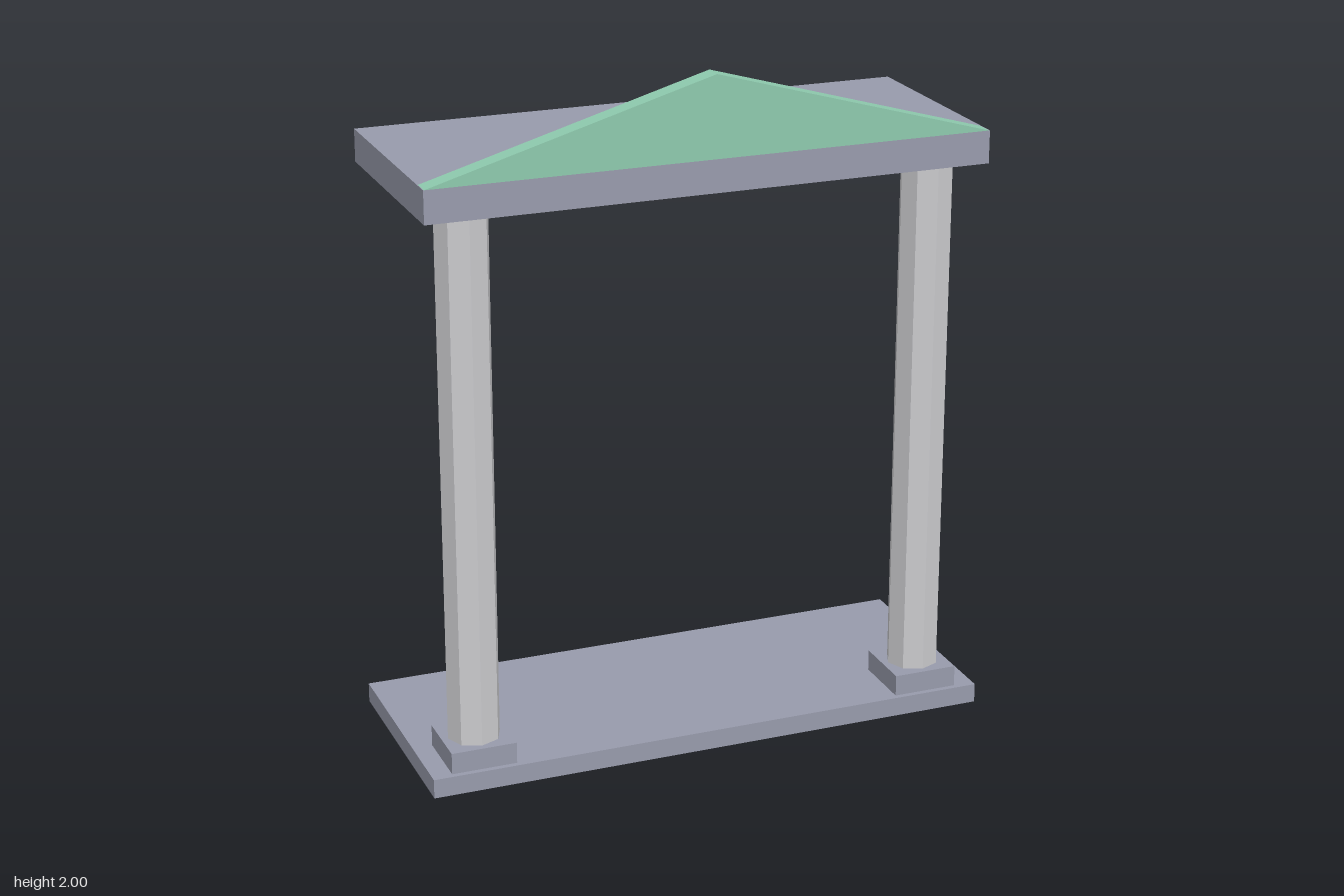
import * as THREE from 'three';

const slate = new THREE.MeshStandardMaterial({ color: 0x989bac });
slate.name = 'slate';
const stone = new THREE.MeshStandardMaterial({ color: 0xcbcbce });
stone.name = 'paleStone';
const green = new THREE.MeshStandardMaterial({ color: 0x8ecaae });
green.name = 'green';

function add(parent, name, geometry, material, x = 0, y = 0, z = 0) {
  const mesh = new THREE.Mesh(geometry, material);
  mesh.name = name;
  mesh.position.set(x, y, z);
  parent.add(mesh);
  return mesh;
}

// Box spanning y0 to y1
function slab(parent, name, w, d, y0, y1, x = 0, z = 0) {
  return add(parent, name, new THREE.BoxGeometry(w, y1 - y0, d), slate, x, (y0 + y1) / 2, z);
}

export function createModel() {
  const model = new THREE.Group();
  model.name = 'portico';
  const baseTop = 0.057, plinthTop = 0.12, roofBottom = 1.67, roofTop = 1.765;
  const depth = 0.664, columnZ = 0.22;

  slab(model, 'base', 1.685, depth, 0, baseTop);
  slab(model, 'roofSlab', 1.645, depth, roofBottom, roofTop);

  // Octagonal columns on square plinths, front corners only
  const shaft = new THREE.CylinderGeometry(0.077, 0.077, roofBottom - plinthTop, 8).toNonIndexed();
  shaft.computeVertexNormals();
  for (const [side, x] of [['left', 0.685], ['right', -0.688]]) {
    const column = new THREE.Group();
    column.name = side + 'Column';
    slab(column, side + 'Plinth', 0.192, 0.192, baseTop, plinthTop, x, columnZ);
    add(column, side + 'Shaft', shaft, stone, x, (plinthTop + roofBottom) / 2, columnZ);
    model.add(column);
  }

  // Triangular pediment flush with the front edge
  const gable = new THREE.Shape([
    new THREE.Vector2(-0.82, 0),
    new THREE.Vector2(0.82, 0),
    new THREE.Vector2(0, 2 - roofTop),
  ]);
  const thickness = 0.055;
  const pediment = new THREE.ExtrudeGeometry(gable, { depth: thickness, bevelEnabled: false });
  add(model, 'pediment', pediment, green, 0, roofTop, depth / 2 - thickness);

  return model;
}
